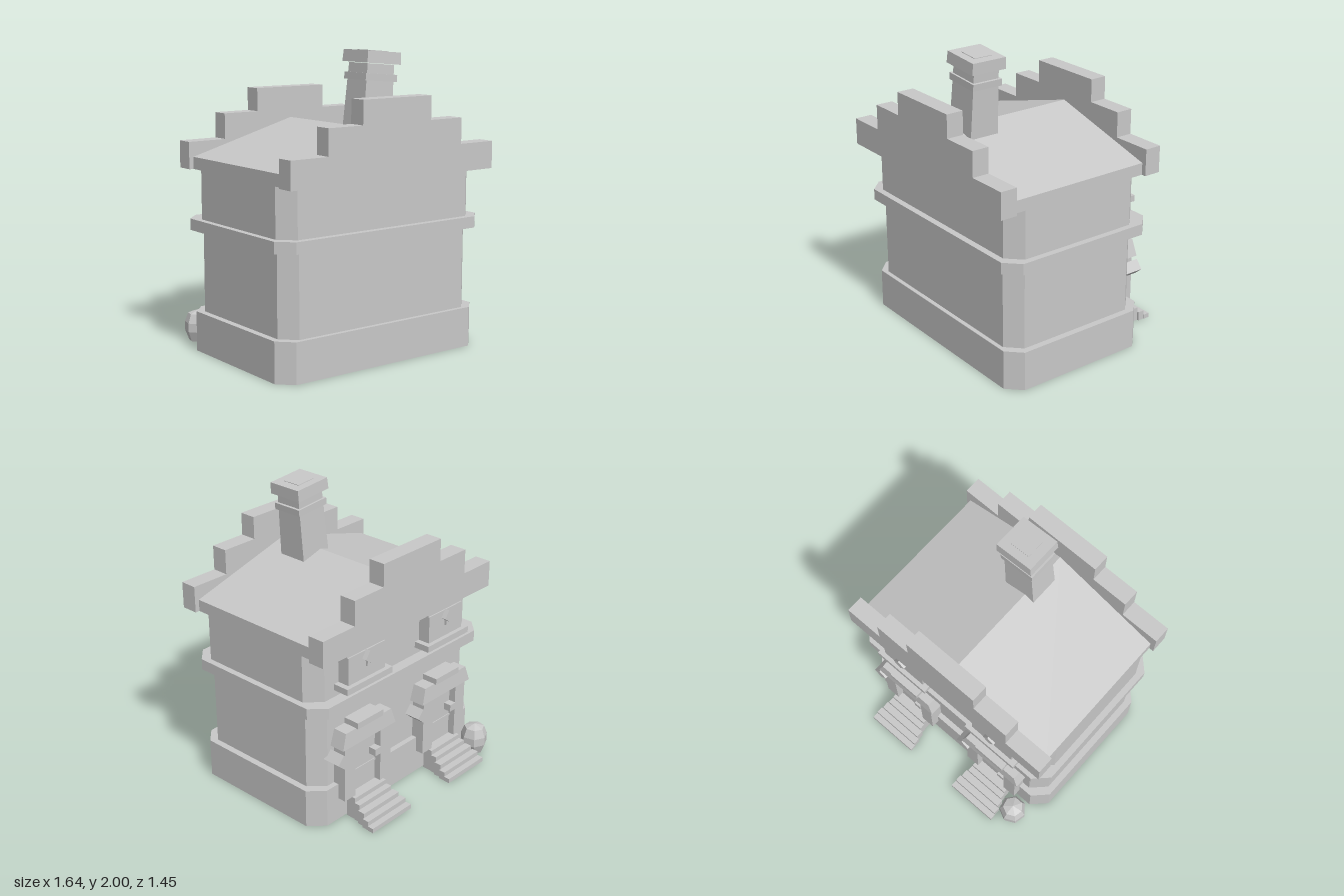
import * as THREE from 'three';

const stone = new THREE.MeshStandardMaterial({ color: 0xc8c8c8, side: THREE.DoubleSide });
stone.name = 'stone grey';

function add(parent, name, geo, x = 0, y = 0, z = 0) {
  const m = new THREE.Mesh(geo, stone);
  m.name = name;
  m.position.set(x, y, z);
  parent.add(m);
  return m;
}

// box given by its limits
function block(parent, name, x0, x1, y0, y1, z0, z1) {
  return add(parent, name, new THREE.BoxGeometry(x1 - x0, y1 - y0, z1 - z0),
    (x0 + x1) / 2, (y0 + y1) / 2, (z0 + z1) / 2);
}

// outline in x,y pushed along z
function slab(points, depth) {
  const shape = new THREE.Shape(points.map(p => new THREE.Vector2(p[0], p[1])));
  return new THREE.ExtrudeGeometry(shape, { depth, bevelEnabled: false });
}

// storey with cut corners, open underneath
function storey(parent, name, w, z0, z1, y0, y1, c = 0.096) {
  const a = -z1, b = -z0;
  const g = slab([[-w + c, a], [w - c, a], [w, a + c], [w, b - c],
    [w - c, b], [-w + c, b], [-w, b - c], [-w, a + c]], y1 - y0);
  // the first six triangles are the lower lid
  for (const key of Object.keys(g.attributes)) {
    const { array, itemSize } = g.attributes[key];
    g.setAttribute(key, new THREE.BufferAttribute(array.slice(18 * itemSize), itemSize));
  }
  g.clearGroups();
  g.rotateX(-Math.PI / 2);
  add(parent, name, g, 0, y0, 0);
}

// box whose top is scaled in x and z
function taperedBox(w, h, d, sx, sz) {
  const g = new THREE.BoxGeometry(w, h, d);
  const p = g.attributes.position;
  for (let i = 0; i < p.count; i++) {
    if (p.getY(i) > 0) p.setXYZ(i, p.getX(i) * sx, p.getY(i), p.getZ(i) * sz);
  }
  g.computeVertexNormals();
  return g;
}

function makeDoor(x) {
  const door = new THREE.Group();
  door.name = 'doorway';
  door.position.x = x;
  // hollow steps, narrower towards the house
  const edges = [-0.727, -0.684, -0.636, -0.583, -0.54, -0.47];
  const halfWidths = [0.188, 0.184, 0.17, 0.155, 0.15];
  halfWidths.forEach((w, i) => {
    const step = block(door, 'step', -w, w, 0, (i + 1) * 0.032, edges[i], edges[i + 1]);
    const index = [...step.geometry.index.array];
    index.splice(18, 6); // no underside
    step.geometry.setIndex(index);
    step.geometry.clearGroups();
  });
  block(door, 'doorPanel', -0.14, 0.14, 0.16, 0.58, -0.465, -0.4);
  block(door, 'doorRail', -0.13, 0.13, 0.3, 0.315, -0.472, -0.46);
  block(door, 'doorHandle', -0.12, -0.065, 0.37, 0.42, -0.52, -0.46);
  for (const s of [-1, 1]) {
    add(door, 'doorPost', new THREE.BoxGeometry(0.1, 0.4, 0.11), s * 0.17, 0.36, -0.46);
  }
  add(door, 'lintel', taperedBox(0.5, 0.11, 0.14, 0.86, 0.86), 0, 0.61, -0.46);
  block(door, 'lintelCap', -0.12, 0.12, 0.662, 0.705, -0.535, -0.41);
  // lantern beside the door
  const lantern = add(door, 'lantern', new THREE.BoxGeometry(0.075, 0.075, 0.13), 0.245, 0.475, -0.47);
  lantern.rotation.z = 0.72;
  return door;
}

function makeWindow(x) {
  const win = new THREE.Group();
  win.name = 'window';
  win.position.x = x;
  block(win, 'windowSill', -0.21, 0.21, 0.937, 0.98, -0.53, -0.4);
  block(win, 'windowFrame', -0.17, 0.17, 0.98, 1.17, -0.5, -0.4);
  block(win, 'windowHead', -0.17, 0.17, 1.165, 1.19, -0.49, -0.4);
  block(win, 'ornamentStem', -0.01, 0.01, 1.06, 1.13, -0.515, -0.48);
  const gem = add(win, 'ornament', new THREE.BoxGeometry(0.065, 0.065, 0.045), 0, 1.13, -0.511);
  gem.rotation.z = Math.PI / 5;
  return win;
}

export function createModel() {
  const house = new THREE.Group();
  house.name = 'house';

  // walls
  storey(house, 'plinth', 0.807, -0.457, 0.64, 0, 0.268);
  storey(house, 'lowerWall', 0.763, -0.42, 0.61, 0.268, 0.812);
  storey(house, 'stringCourse', 0.82, -0.492, 0.663, 0.812, 0.888);
  storey(house, 'upperWall', 0.778, -0.415, 0.618, 0.888, 1.212);
  // underside of the string course
  block(house, 'stringCourseSoffit', -0.72, 0.72, 0.812, 0.816, -0.492, 0.663);
  block(house, 'stringCourseSoffit', -0.82, 0.82, 0.812, 0.816, -0.394, 0.565);

  // roof
  add(house, 'roof', slab([[-0.778, 1.21], [0.778, 1.21], [0.778, 1.29], [0, 1.505], [-0.778, 1.29]], 1.03),
    0, 0, -0.417);

  // stepped gables
  const half = [[0.81, 1.21], [0.81, 1.39], [0.533, 1.39], [0.533, 1.56], [0.273, 1.56], [0.273, 1.715]];
  const outline = [...half, ...half.map(p => [-p[0], p[1]]).reverse()];
  add(house, 'frontGable', slab(outline, 0.117), 0, 0, 0.61);
  add(house, 'backGable', slab(outline, 0.117), 0, 0, -0.53);

  // leaning chimney
  const chimney = new THREE.Group();
  chimney.name = 'chimney';
  chimney.position.set(0.042, 1.455, 0.368);
  chimney.rotation.z = -0.085;
  add(chimney, 'chimneyShaft', taperedBox(0.235, 0.45, 0.21, 0.92, 0.9), 0, 0.225, 0);
  add(chimney, 'chimneyCollar', new THREE.BoxGeometry(0.255, 0.045, 0.22), 0, 0.366, 0);
  add(chimney, 'chimneyCap', taperedBox(0.275, 0.077, 0.255, 0.98, 0.97), 0, 0.492, 0);
  add(chimney, 'chimneyVent', new THREE.BoxGeometry(0.14, 0.006, 0.13), 0, 0.531, 0);
  house.add(chimney);

  // doors and windows on the back
  for (const x of [-0.39, 0.387]) {
    house.add(makeDoor(x));
    house.add(makeWindow(x));
  }

  // barrel
  const profile = [[0, 0], [0.065, 0], [0.093, 0.07], [0.093, 0.13], [0.07, 0.19], [0, 0.213]]
    .map(p => new THREE.Vector2(p[0], p[1]));
  const barrelShape = new THREE.LatheGeometry(profile, 7).toNonIndexed();
  barrelShape.computeVertexNormals();
  const barrel = add(house, 'barrel', barrelShape, -0.66, 0, -0.583);
  barrel.rotation.y = Math.PI / 7;

  return house;
}
